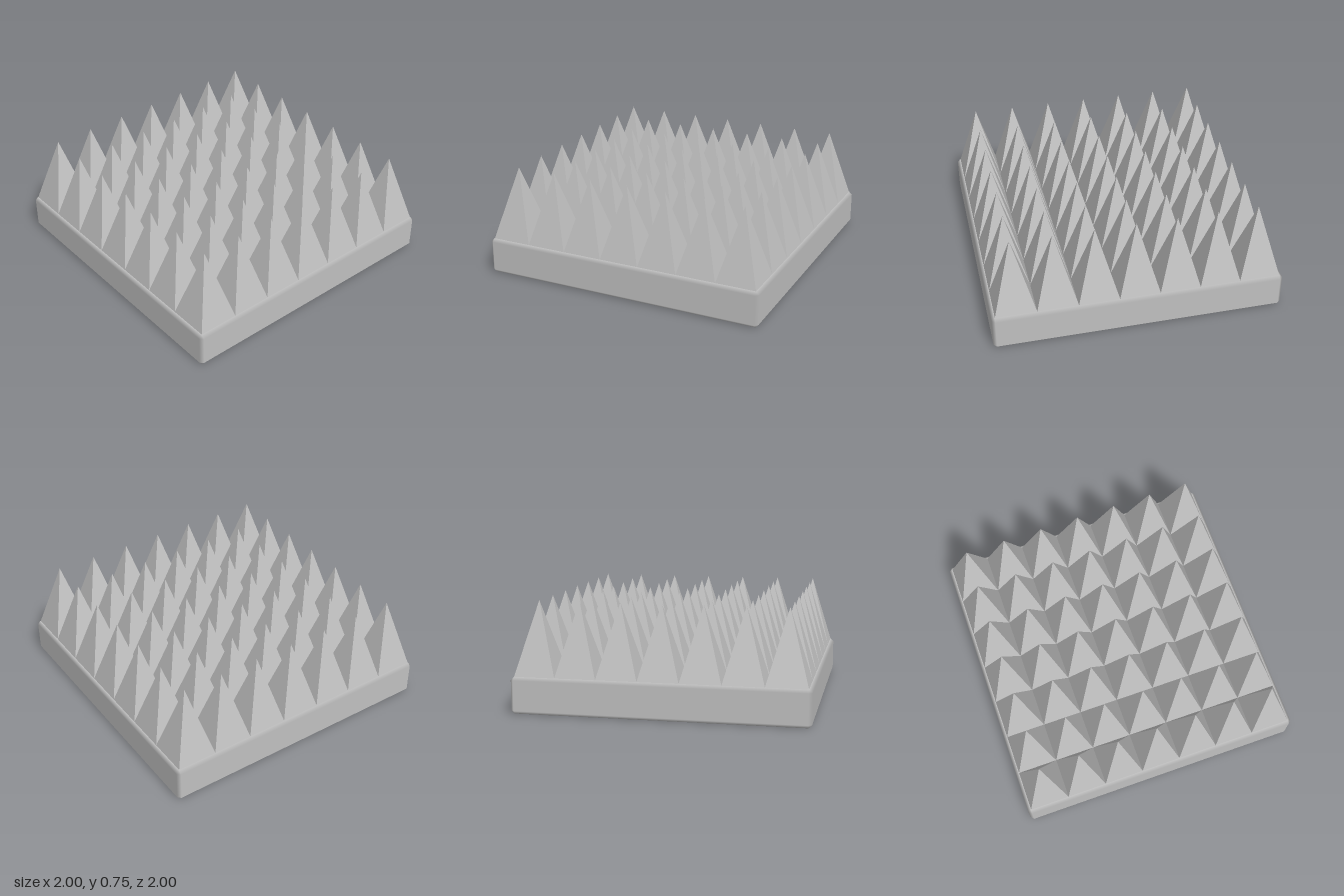
import * as THREE from 'three';
import { ConvexGeometry } from 'three/addons/geometries/ConvexGeometry.js';

const BEVEL = 0.022;
const BASE_HEIGHT = 0.25;
const SPIKE_HEIGHT = 0.5;
const COUNT = 7;
const PITCH = 0.279;

// Box with one-step bevels; each corner keeps the normal of its main face
function bevelledBox(w, h, d, b) {
  const half = [w / 2, h / 2, d / 2];
  const points = [];
  for (let axis = 0; axis < 3; axis++)
    for (const sx of [-1, 1]) for (const sy of [-1, 1]) for (const sz of [-1, 1]) {
      const s = [sx, sy, sz];
      points.push(new THREE.Vector3(...half.map((e, i) => s[i] * (i === axis ? e : e - b))));
    }
  const geometry = new ConvexGeometry(points);
  const { position, normal } = geometry.attributes;
  for (let i = 0; i < position.count; i++) {
    const p = [position.getX(i), position.getY(i), position.getZ(i)];
    const n = p.map((v, k) => (Math.abs(v) > half[k] - b / 2 ? Math.sign(v) : 0));
    normal.setXYZ(i, ...n);
  }
  return geometry;
}

export function createModel() {
  const model = new THREE.Group();
  model.name = 'spikeTrap';
  const metal = new THREE.MeshStandardMaterial({ color: 0xc0c0c0 });
  metal.name = 'grey metal';

  // Base slab
  const base = new THREE.Mesh(bevelledBox(2, BASE_HEIGHT, 2, BEVEL), metal);
  base.name = 'base';
  base.position.y = BASE_HEIGHT / 2;
  model.add(base);

  // Four-sided spike with hard edges
  const spikeGeometry = new THREE.ConeGeometry(PITCH / Math.SQRT2, SPIKE_HEIGHT, 4, 1, true)
    .rotateY(Math.PI / 4)
    .toNonIndexed();
  spikeGeometry.computeVertexNormals();

  // Grid of spikes
  const spikes = new THREE.Group();
  spikes.name = 'spikes';
  for (let row = 0; row < COUNT; row++)
    for (let col = 0; col < COUNT; col++) {
      const spike = new THREE.Mesh(spikeGeometry, metal);
      spike.name = 'spike';
      const middle = (COUNT - 1) / 2;
      spike.position.set((col - middle) * PITCH, BASE_HEIGHT + SPIKE_HEIGHT / 2, (row - middle) * PITCH);
      spikes.add(spike);
    }
  model.add(spikes);
  return model;
}
